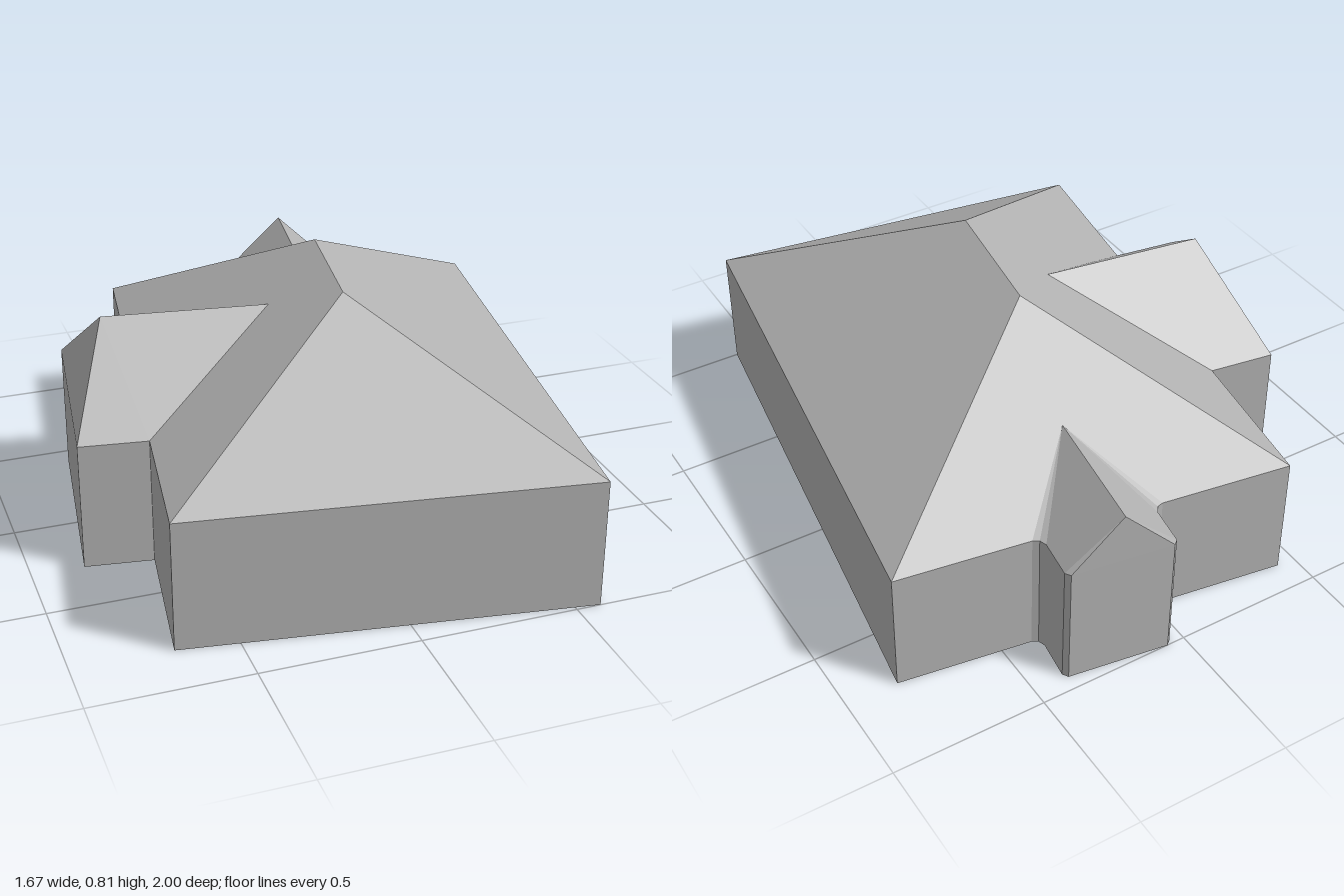
import * as THREE from 'three';

const BASE = 0.005, EAVE = 0.424;

const grey = new THREE.MeshStandardMaterial({ color: 0xb2b2b2 });
grey.name = 'plain grey';

// Flat polygons, each turned to face away from an inner point
function facetMesh(name, faces, inner) {
  const pos = [];
  const centre = new THREE.Vector3(...inner);
  for (const face of faces) {
    const p = face.map((c) => new THREE.Vector3(...c));
    for (let i = 1; i < p.length - 1; i++) {
      let [a, b, c] = [p[0], p[i], p[i + 1]];
      const n = b.clone().sub(a).cross(c.clone().sub(a));
      if (n.dot(a.clone().sub(centre)) < 0) [b, c] = [c, b];
      for (const v of [a, b, c]) pos.push(v.x, v.y, v.z);
    }
  }
  const geo = new THREE.BufferGeometry();
  geo.setAttribute('position', new THREE.Float32BufferAttribute(pos, 3));
  geo.computeVertexNormals();
  const mesh = new THREE.Mesh(geo, grey);
  mesh.name = name;
  return mesh;
}

// Walls along a plan outline of [x, z] points, plus the floor
function wallsMesh(name, plan, closed, inner) {
  const at = (p, y) => [p[0], y, p[1]];
  const faces = [plan.map((p) => at(p, BASE))];
  const count = closed ? plan.length : plan.length - 1;
  for (let i = 0; i < count; i++) {
    const a = plan[i], b = plan[(i + 1) % plan.length];
    faces.push([at(a, BASE), at(b, BASE), at(b, EAVE), at(a, EAVE)]);
  }
  return facetMesh(name, faces, inner);
}

const eave = ([x, z]) => [x, EAVE, z];

export function createModel() {
  const model = new THREE.Group();
  model.name = 'house';
  const house = new THREE.Group();
  house.name = 'turnedHouse';
  house.position.set(0.07, 0, 0.05);
  house.rotation.y = -0.147;
  model.add(house);

  // Main block with a hipped roof
  const W = 0.642, L = 0.865, RX = -0.02, RZ = 0.227, RY = 0.81;
  const main = [[-W, L], [W, L], [W, -L], [-W, -L]];
  const [fl, fr, br, bl] = main.map(eave);
  const front = [RX, RY, RZ], back = [RX, RY, -RZ];
  house.add(wallsMesh('mainWalls', main, true, [0, 0.2, 0]));
  house.add(facetMesh('mainRoof', [
    [fl, fr, front], [br, bl, back],
    [fr, br, back, front], [bl, fl, front, back],
  ], [0, 0.3, 0]));

  // Side wing with a hipped end
  const S = 0.358, SX = -0.861;
  const side = [[-W, S], [SX, S], [SX, -S], [-W, -S]];
  const [s0, s1, s2, s3] = side.map(eave);
  const hip = [-0.748, 0.69, 0], join = [-0.213, 0.69, 0];
  house.add(wallsMesh('sideWingWalls', side, false, [-0.7, 0.2, 0]));
  house.add(facetMesh('sideWingRoof', [
    [s1, s2, hip], [s0, s1, hip, join], [s2, s3, join, hip],
  ], [-0.6, 0.3, 0]));

  // Back porch with a gable and softened corners
  const half = [[0.21, -L], [0.19, -0.873], [0.179, -0.895], [0.178, -1.022], [0.164, -1.038]];
  const porch = [...half, ...half.map(([x, z]) => [-x, z]).reverse()];
  const peak = [0, 0.59, -1.036], valley = [0, 0.588, -0.6];
  const porchRoof = [];
  for (const m of [1, -1]) {
    const e = half.map(([x, z]) => eave([m * x, z]));
    porchRoof.push([e[0], e[1], valley], [e[1], e[2], valley]);
    porchRoof.push([e[2], e[3], peak, valley], [e[3], e[4], peak]);
  }
  porchRoof.push([eave(half[4]), eave([-half[4][0], half[4][1]]), peak]);
  house.add(wallsMesh('porchWalls', porch, false, [0, 0.2, -0.88]));
  house.add(facetMesh('porchRoof', porchRoof, [0, 0.3, -0.88]));

  return model;
}
